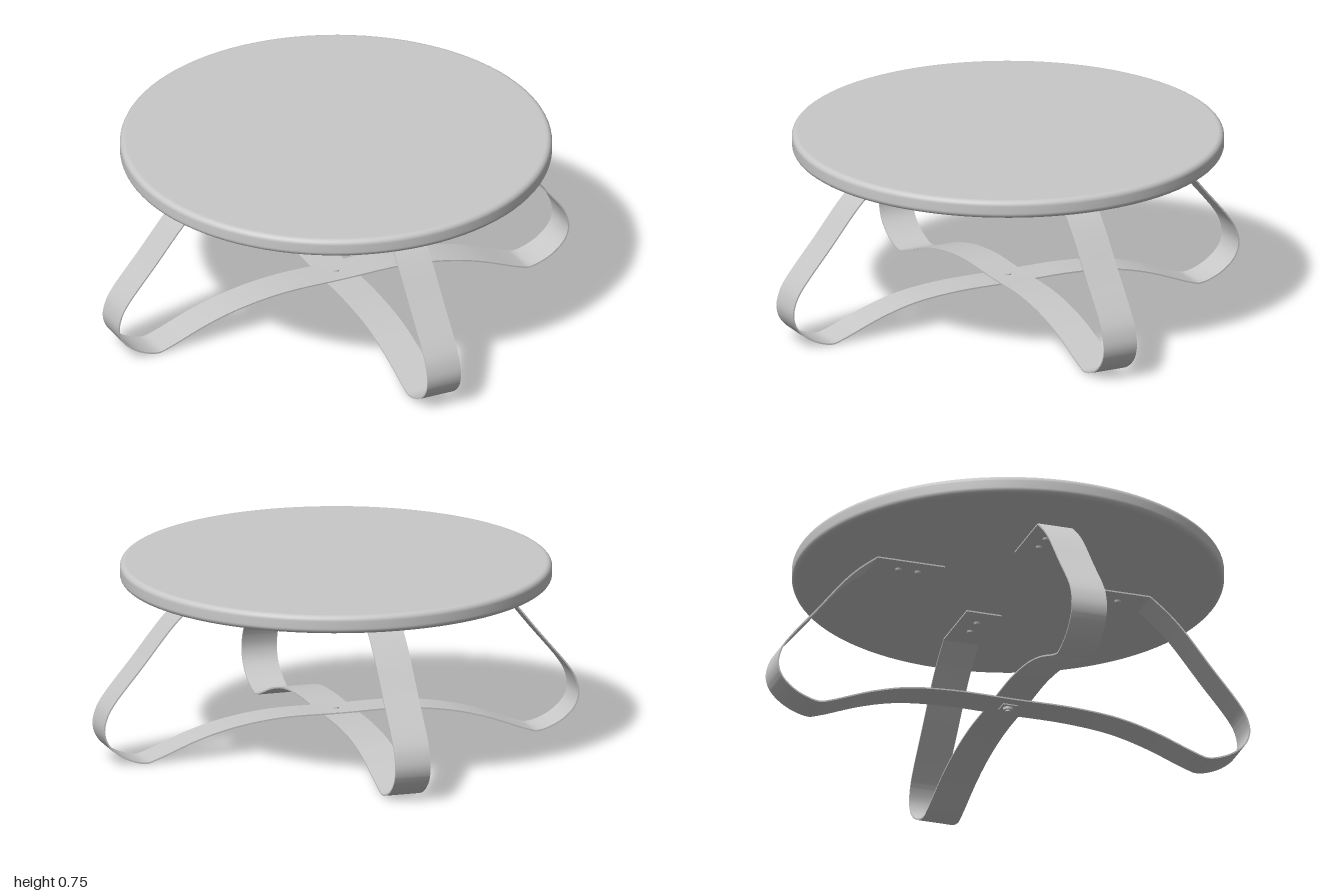
import * as THREE from 'three';
import { toCreasedNormals } from 'three/addons/utils/BufferGeometryUtils.js';

const grey = new THREE.MeshStandardMaterial({ color: 0xc8c8c8 });
grey.name = 'grey';

const BAND_WIDTH = 0.147;
const BAND_THICK = 0.006;
const UNDERSIDE = 0.683;

function part(name, geometry, parent) {
  const mesh = new THREE.Mesh(geometry, grey);
  mesh.name = name;
  parent.add(mesh);
  return mesh;
}

// Round top with softly rounded upper and lower edges
function topGeometry() {
  const R = 0.862, top = 0.757, r = 0.022;
  const pts = [[0, UNDERSIDE], [R - r - 0.004, UNDERSIDE]];
  for (let i = 0; i <= 6; i++) {
    const a = -Math.PI / 2 + (i / 6) * Math.PI / 2;
    pts.push([R - r + r * Math.cos(a), UNDERSIDE + r + r * Math.sin(a)]);
  }
  for (let i = 0; i <= 6; i++) {
    const a = (i / 6) * Math.PI / 2;
    pts.push([R - r + r * Math.cos(a), top - r + r * Math.sin(a)]);
  }
  pts.push([R - r - 0.004, top], [0, top]);
  return new THREE.LatheGeometry(pts.map(([x, y]) => new THREE.Vector2(x, y)), 96);
}

// One bent strip: mounting tab, sloping leg, curled foot, arched stretcher, and back up
function bandGeometry(centreY) {
  const half = [
    [0.575, 0.679], [0.65, 0.618], [0.71, 0.558], [0.83, 0.41], [0.96, 0.25], [0.984, 0.203],
    [0.994, 0.15], [0.981, 0.102], [0.945, 0.06], [0.89, 0.026], [0.82, 0.007], [0.775, 0.018],
    [0.6, 0.084], [0.45, 0.123], [0.26, centreY],
  ];
  const full = [...half, [0, centreY], ...half.map(([x, y]) => [-x, y]).reverse()];
  const curve = new THREE.CatmullRomCurve3(full.map(([x, y]) => new THREE.Vector3(x, y, 0)), false, 'centripetal');
  const path = [[0.29, 0.679], ...curve.getPoints(150).map((p) => [p.x, p.y]), [-0.29, 0.679]];

  // Offset the centre line to both sides for the thickness
  const side = (s) => path.map(([x, y], i) => {
    const a = path[Math.max(i - 1, 0)], b = path[Math.min(i + 1, path.length - 1)];
    const n = new THREE.Vector2(a[1] - b[1], b[0] - a[0]).normalize();
    return new THREE.Vector2(x, y).addScaledVector(n, s * BAND_THICK / 2);
  });
  const shape = new THREE.Shape([...side(1), ...side(-1).reverse()]);
  const geo = new THREE.ExtrudeGeometry(shape, { depth: BAND_WIDTH, bevelEnabled: false });
  geo.translate(0, 0, -BAND_WIDTH / 2);
  return toCreasedNormals(geo, 0.5);
}

export function createModel() {
  const model = new THREE.Group();
  model.name = 'roundTable';
  part('tableTop', topGeometry(), model);

  // Two crossing legs, one resting just under the other
  [0.147, 0.141].forEach((centreY, i) => {
    const leg = new THREE.Group();
    leg.name = i ? 'frontBackLeg' : 'sideLeg';
    leg.rotation.y = i * Math.PI / 2;
    part('bentBand', bandGeometry(centreY), leg);
    // Two screws through each mounting tab
    for (const s of [-1, 1]) for (const x of [0.38, 0.462]) {
      part('screwHead', new THREE.CylinderGeometry(0.014, 0.011, 0.009, 16), leg)
        .position.set(s * x, 0.6725, 0);
    }
    model.add(leg);
  });

  // Bolt holding the crossing together, with washer and nut below
  const bolt = new THREE.Group();
  bolt.name = 'centreBolt';
  part('boltHead', new THREE.CylinderGeometry(0.012, 0.012, 0.006, 16), bolt).position.y = 0.152;
  part('washer', new THREE.BoxGeometry(0.06, 0.005, 0.06), bolt).position.y = 0.136;
  part('nut', new THREE.CylinderGeometry(0.022, 0.022, 0.012, 6), bolt).position.y = 0.129;
  part('boltEnd', new THREE.CylinderGeometry(0.01, 0.01, 0.008, 12), bolt).position.y = 0.121;
  model.add(bolt);
  return model;
}
